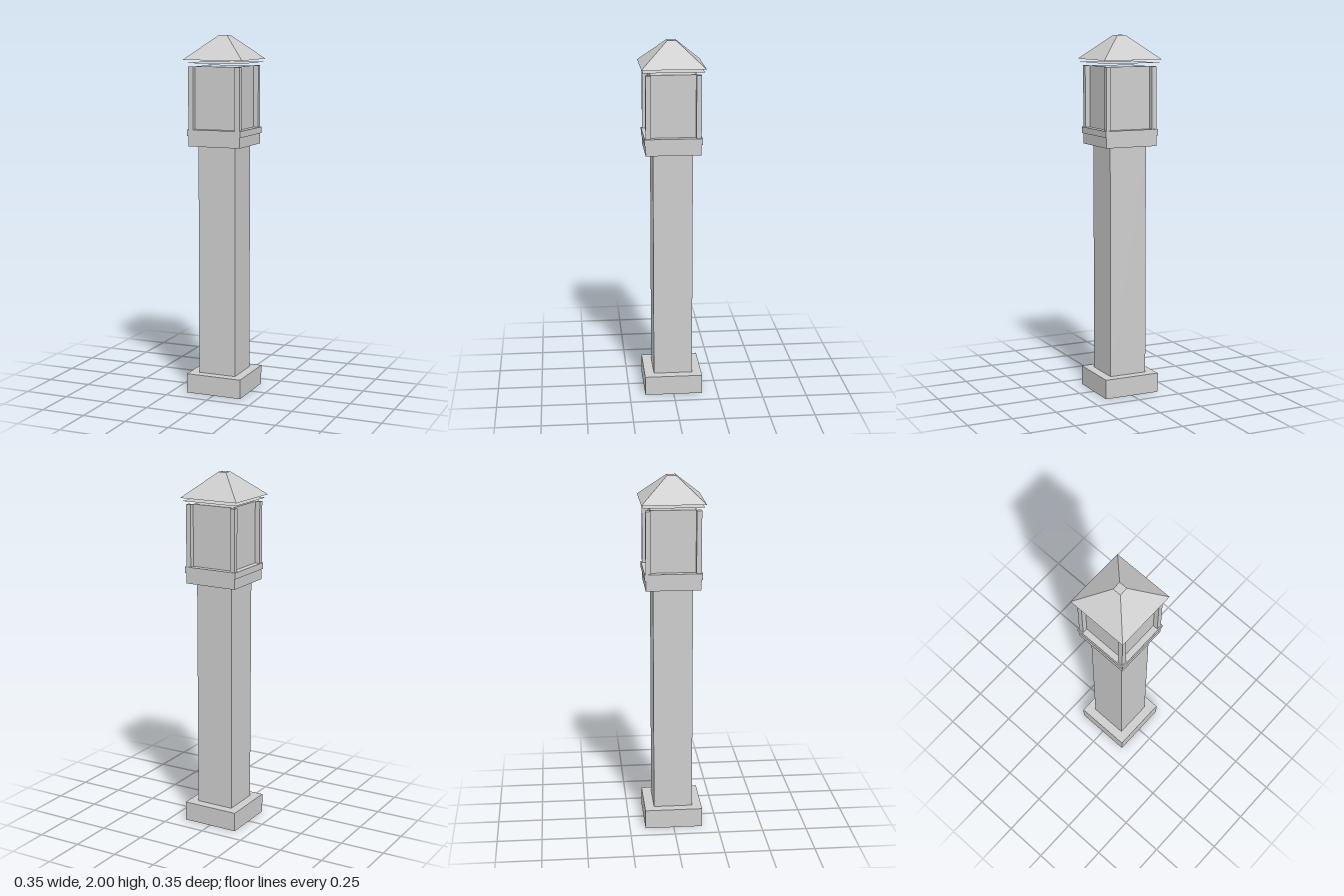
import * as THREE from 'three';

export function createModel() {
  const group = new THREE.Group();
  const stone = new THREE.MeshStandardMaterial({ color: 0xcccccc });
  const stoneSheet = new THREE.MeshStandardMaterial({ color: 0xcccccc, side: THREE.DoubleSide });
  stone.name = 'stone grey';
  stoneSheet.name = 'stone grey sheet';

  function add(name, geometry, x, y, z, material = stone) {
    const mesh = new THREE.Mesh(geometry, material);
    mesh.name = name;
    mesh.position.set(x, y, z);
    group.add(mesh);
    return mesh;
  }

  // Square block given by half width and its bottom and top heights
  function block(name, half, y0, y1, x = 0, z = 0) {
    return add(name, new THREE.BoxGeometry(half * 2, y1 - y0, half * 2), x, (y0 + y1) / 2, z);
  }

  block('base', 0.162, 0, 0.109);
  block('column', 0.109, 0.109, 1.397);
  block('collar', 0.151, 1.397, 1.455);
  block('ledge', 0.157, 1.455, 1.49);
  block('lanternCore', 0.123, 1.49, 1.832);

  // Four slim posts around the lantern
  for (const x of [-1, 1]) {
    for (const z of [-1, 1]) block('cornerPost', 0.014, 1.49, 1.832, x * 0.137, z * 0.137);
  }

  // Thin eave sheet floating just under the roof
  const eave = new THREE.PlaneGeometry(0.33, 0.33).rotateX(-Math.PI / 2);
  add('eave', eave, 0, 1.851, 0, stoneSheet);

  // Truncated pyramid roof: a box with its top corners pulled in
  const roof = new THREE.BoxGeometry(0.347, 0.132, 0.347);
  const p = roof.attributes.position;
  for (let i = 0; i < p.count; i++) {
    if (p.getY(i) > 0) p.setXYZ(i, Math.sign(p.getX(i)) * 0.024, p.getY(i), Math.sign(p.getZ(i)) * 0.024);
  }
  roof.computeVertexNormals();
  add('roof', roof, 0, 1.934, 0);

  return group;
}
